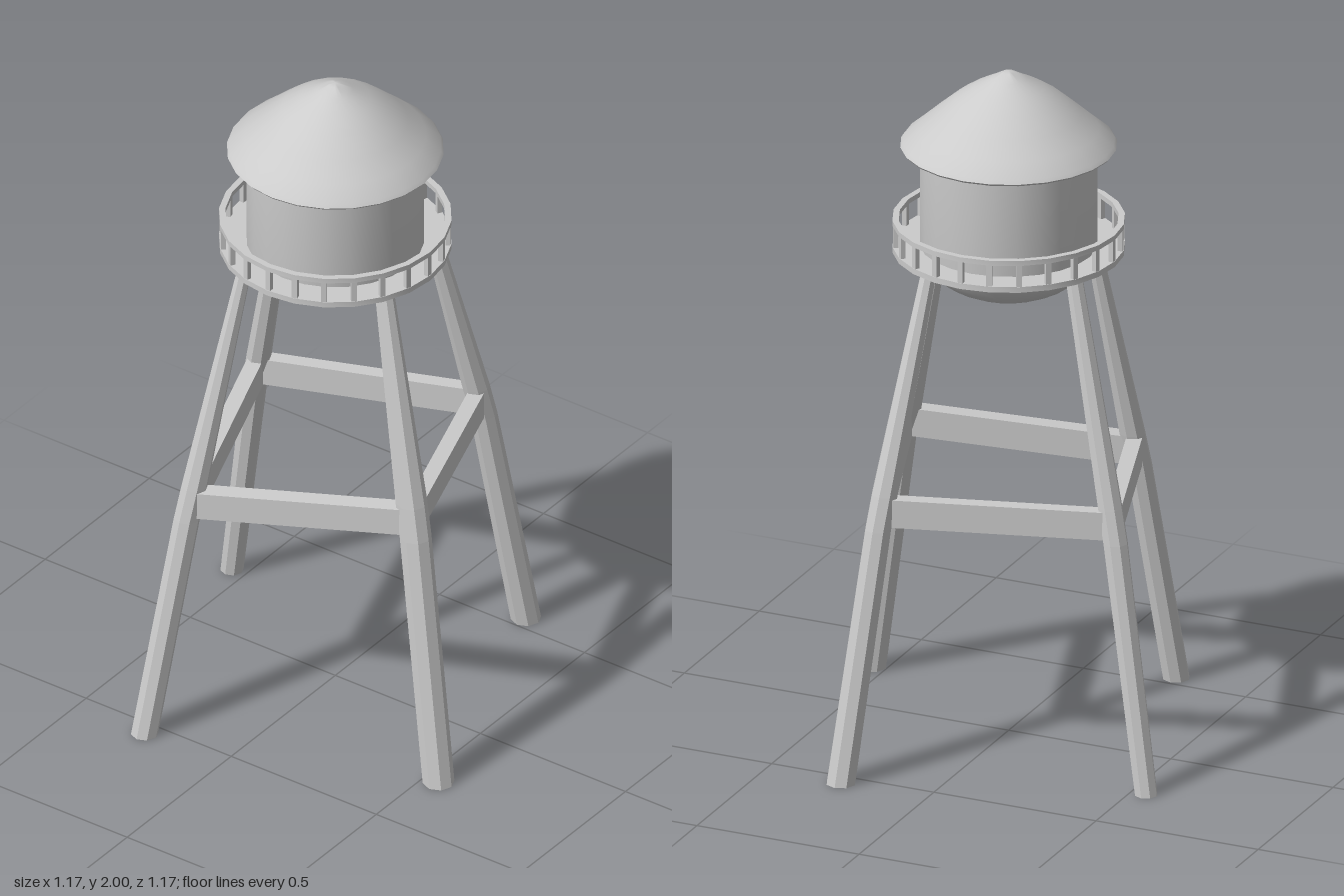
import * as THREE from 'three';
import { toCreasedNormals } from 'three/addons/utils/BufferGeometryUtils.js';

const SIDES = 24;
const smooth = new THREE.MeshStandardMaterial({ color: 0xcccccc });
const faceted = new THREE.MeshStandardMaterial({ color: 0xcccccc, flatShading: true });

function add(parent, name, geometry, material = smooth) {
  const mesh = new THREE.Mesh(geometry, material);
  mesh.name = name;
  parent.add(mesh);
  return mesh;
}

// Turned part; profile runs upwards along the outside
function turned(profile) {
  const points = profile.map(([r, y]) => new THREE.Vector2(r, y));
  return toCreasedNormals(new THREE.LatheGeometry(points, SIDES), 0.6);
}

// Closed square-section ring
function ring(inner, outer, bottom, top) {
  return turned([[inner, bottom], [outer, bottom], [outer, top], [inner, top], [inner, bottom]]);
}

// Leg through stations [y, distance from axis, radius], cut level at both ends
function legGeometry(stations, angle) {
  const spans = stations.length - 1;
  const geometry = new THREE.CylinderGeometry(1, 1, 1, 8, spans);
  const pos = geometry.attributes.position;
  for (let i = 0; i < pos.count; i++) {
    const [y, dist, radius] = stations[Math.round((pos.getY(i) + 0.5) * spans)];
    pos.setXYZ(i,
      Math.sin(angle) * dist + pos.getX(i) * radius,
      y,
      Math.cos(angle) * dist + pos.getZ(i) * radius);
  }
  geometry.computeVertexNormals();
  return geometry;
}

export function createModel() {
  const model = new THREE.Group();
  model.name = 'waterTower';

  // Tank with bowl-shaped bottom
  const bowl = [];
  for (let i = 0; i <= 8; i++) {
    const a = (i / 8) * Math.PI / 2;
    bowl.push([0.25 * Math.sin(a), 1.475 - 0.15 * Math.cos(a)]);
  }
  add(model, 'tank', turned([...bowl, [0.25, 1.79]]));

  // Gently domed conical roof with overhanging eave
  add(model, 'roof', turned([
    [0, 1.775], [0.3, 1.772], [0.305, 1.778], [0.298, 1.788], [0.255, 1.825], [0.205, 1.87],
    [0.15, 1.917], [0.1, 1.95], [0.05, 1.977], [0.018, 1.995], [0, 2],
  ]));

  // Walkway and railing
  const balcony = new THREE.Group();
  balcony.name = 'balcony';
  model.add(balcony);
  add(balcony, 'deck', ring(0.24, 0.327, 1.46, 1.477));
  add(balcony, 'handrail', ring(0.309, 0.327, 1.541, 1.556));
  const postGeometry = new THREE.BoxGeometry(0.016, 0.075, 0.014);
  for (let i = 0; i < SIDES; i++) {
    const a = (i / SIDES) * Math.PI * 2;
    const post = add(balcony, 'railingPost', postGeometry, faceted);
    post.position.set(Math.sin(a) * 0.318, 1.509, Math.cos(a) * 0.318);
    post.rotation.y = a;
  }

  // Four uneven legs: foot, knee and top radius, height of the brace joint
  const legs = [
    { foot: 0.045, knee: 0.045, top: 0.027, joint: 0.8 },
    { foot: 0.043, knee: 0.039, top: 0.023, joint: 0.785 },
    { foot: 0.033, knee: 0.036, top: 0.025, joint: 0.77 },
    { foot: 0.039, knee: 0.038, top: 0.021, joint: 0.735 },
  ];
  const joints = legs.map(({ foot, knee, top, joint }, i) => {
    const angle = -0.452 + i * Math.PI / 2;
    const stations = [
      [0, 0.607, foot], [joint - 0.05, 0.472, knee], [joint + 0.05, 0.448, knee], [1.468, 0.288, top],
    ];
    add(model, 'leg', legGeometry(stations, angle), faceted);
    return new THREE.Vector3(Math.sin(angle) * 0.458, joint, Math.cos(angle) * 0.458);
  });

  // Braces from knee to knee
  const widths = [0.045, 0.042, 0.045, 0.052];
  joints.forEach((start, i) => {
    const end = joints[(i + 1) % 4];
    const length = start.distanceTo(end);
    const brace = add(model, 'brace', new THREE.BoxGeometry(widths[i], 0.083, length), faceted);
    brace.position.copy(start).lerp(end, 0.5);
    brace.lookAt(end);
  });

  return model;
}
